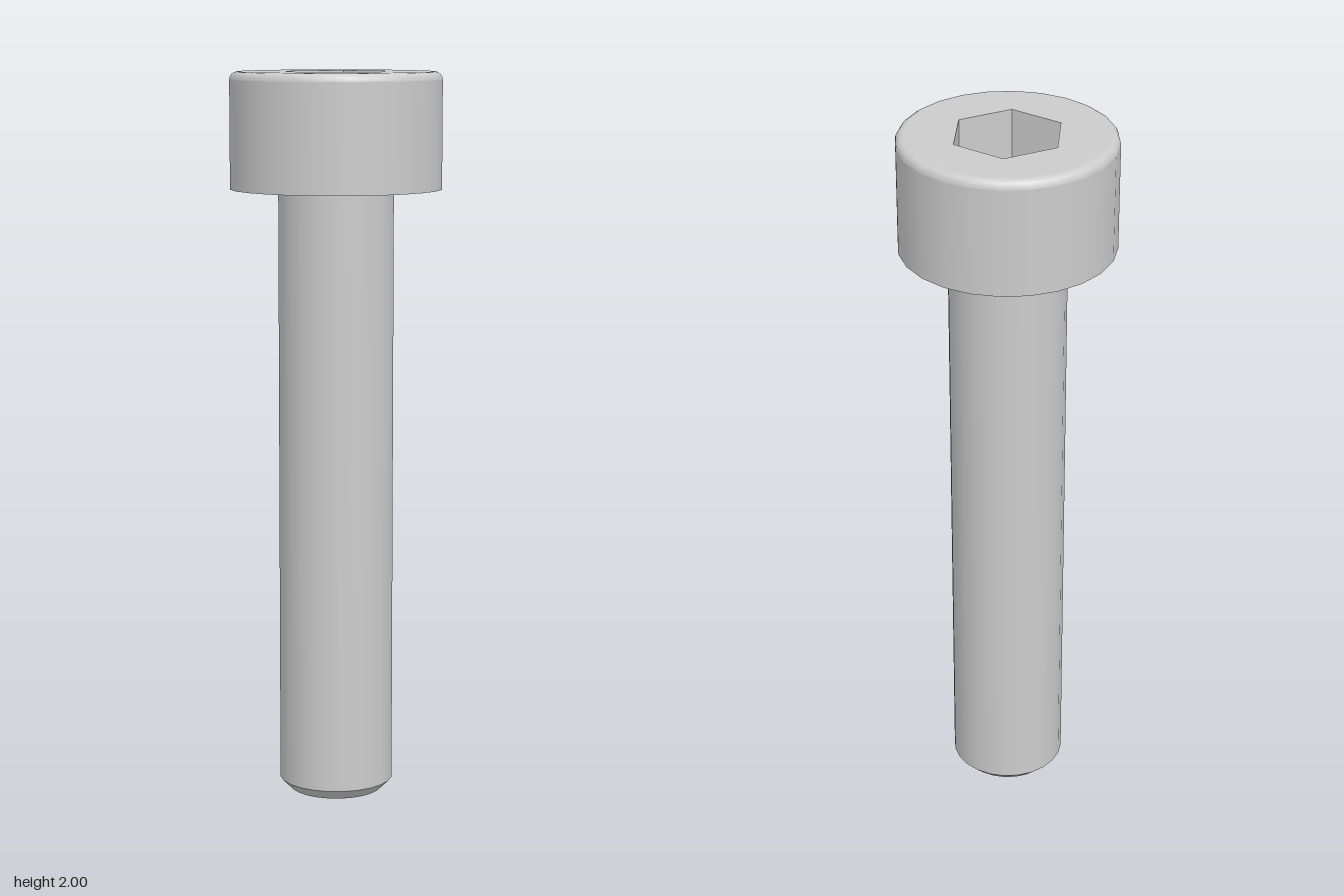
import * as THREE from 'three';
import { mergeVertices } from 'three/addons/utils/BufferGeometryUtils.js';

const SIDES = 24;
const HEAD_R = 0.289, SHAFT_R = 0.158, HEAD_Y = 1.684, TOP = 2, FILLET = 0.022;
const FLAT = 0.1316;                        // half the socket width across flats
const CORNER_R = FLAT / Math.cos(Math.PI / 6);
const SLOPE = Math.tan(Math.PI / 6);        // drill-point floor of the socket
const FLOOR_Y = 1.863, TIP_Y = FLOOR_Y - CORNER_R * SLOPE;

// Radius of the hexagon at a given angle, corners on the z axis
function hexRadius(phi) {
  const sector = Math.PI / 3;
  const k = Math.floor(phi / sector + 1e-6);
  return FLAT / Math.cos(phi - k * sector - sector / 2);
}

// Surface between two closed loops; each loop maps an angle to [radius, y]
function strip(loopA, loopB, smooth) {
  const pos = [];
  const point = (loop, i) => {
    const phi = ((i % SIDES) / SIDES) * Math.PI * 2;
    const [r, y] = loop(phi);
    return [r * Math.sin(phi), y, r * Math.cos(phi)];
  };
  for (let i = 0; i < SIDES; i++) {
    const a = point(loopA, i), b = point(loopA, i + 1);
    const c = point(loopB, i + 1), d = point(loopB, i);
    pos.push(...a, ...b, ...d);
    if (Math.hypot(c[0] - d[0], c[2] - d[2]) > 1e-6) pos.push(...b, ...c, ...d);
  }
  let geo = new THREE.BufferGeometry();
  geo.setAttribute('position', new THREE.Float32BufferAttribute(pos, 3));
  if (smooth) geo = mergeVertices(geo);
  geo.computeVertexNormals();
  return geo;
}

export function createModel() {
  const group = new THREE.Group();
  const steel = new THREE.MeshStandardMaterial({ color: 0xcccccc });
  steel.name = 'steel grey';

  const add = (name, geo) => {
    const mesh = new THREE.Mesh(geo, steel);
    mesh.name = name;
    group.add(mesh);
  };
  // Each turned section is its own lathe so the edges between them stay sharp
  const turn = (name, ...pts) =>
    add(name, new THREE.LatheGeometry(pts.map(([r, y]) => new THREE.Vector2(r, y)), SIDES));

  // Shaft
  turn('shaftEnd', [0, 0], [0.128, 0]);
  turn('shaftChamfer', [0.128, 0], [SHAFT_R, 0.03]);
  turn('shaft', [SHAFT_R, 0.03], [SHAFT_R, HEAD_Y]);

  // Head with a rounded upper rim
  turn('headUnderside', [SHAFT_R, HEAD_Y], [HEAD_R, HEAD_Y]);
  turn('headSide', [HEAD_R, HEAD_Y], [HEAD_R, TOP - FILLET]);
  const rim = [];
  for (let i = 0; i <= 4; i++) {
    const t = (i / 4) * Math.PI / 2;
    rim.push([HEAD_R - FILLET + FILLET * Math.cos(t), TOP - FILLET + FILLET * Math.sin(t)]);
  }
  turn('headRim', ...rim);

  // Flat top around the hexagonal socket, its walls and conical floor
  const rimTop = () => [HEAD_R - FILLET, TOP];
  const hexTop = (phi) => [hexRadius(phi), TOP];
  const hexFloor = (phi) => [hexRadius(phi), TIP_Y + hexRadius(phi) * SLOPE];
  const tip = () => [0, TIP_Y];
  add('headTop', strip(rimTop, hexTop, false));
  add('socketWalls', strip(hexTop, hexFloor, false));
  add('socketFloor', strip(hexFloor, tip, true));

  return group;
}
